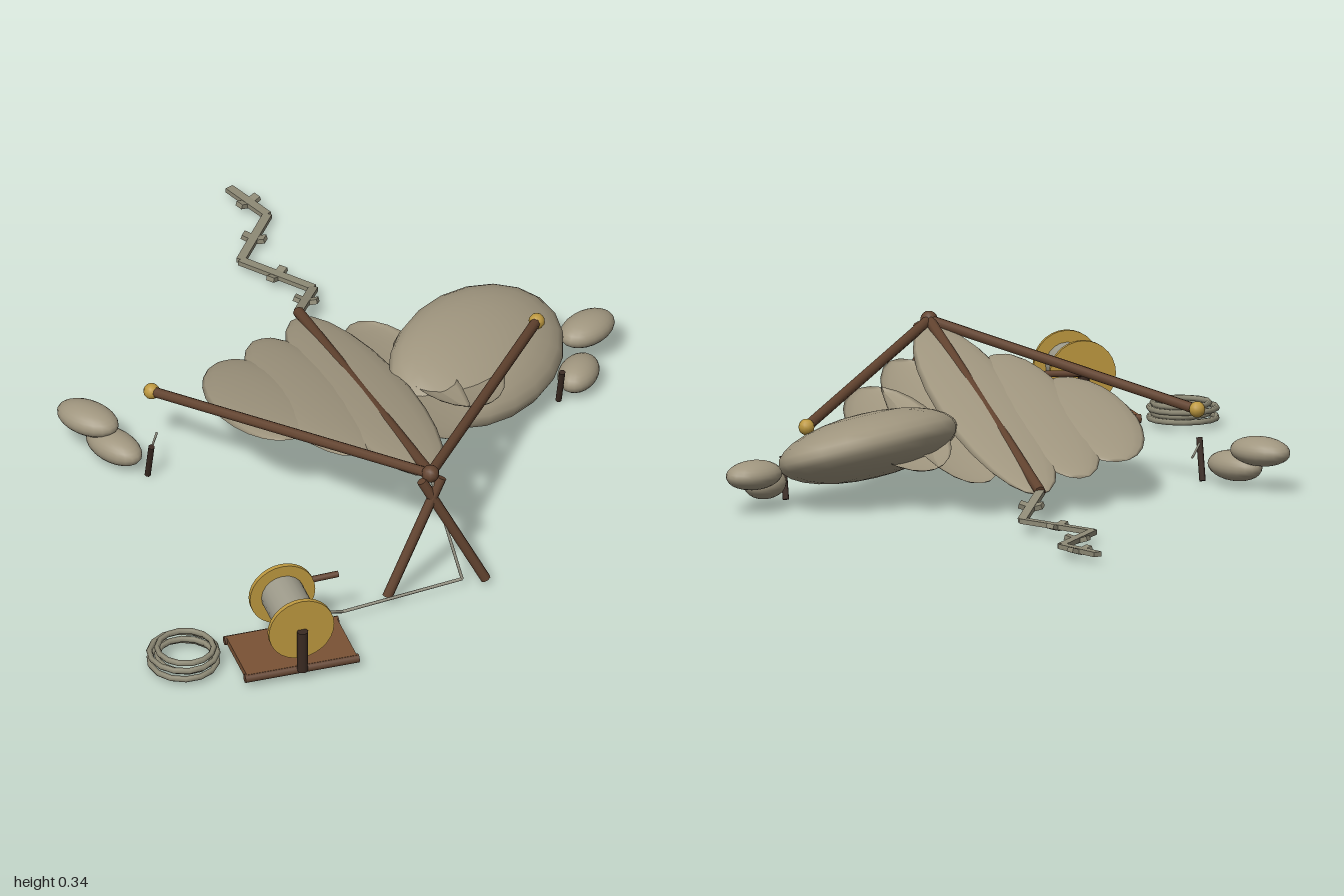
import * as THREE from 'three';

const mat = (name, color, side = THREE.FrontSide) => {
  const m = new THREE.MeshStandardMaterial({ color, side });
  m.name = name;
  return m;
};

export function createModel() {
  const wood = mat('spar wood', 0x634430);
  const plank = mat('plank wood', 0x7a5235);
  const dark = mat('dark wood', 0x3a2a22);
  const gold = mat('brass', 0xbd983f);
  const cloth = mat('cloth', 0xa0967f, THREE.DoubleSide);
  const rope = mat('rope', 0x8e8a76);
  const line = mat('line', 0x9f9c8c);

  const root = new THREE.Group();
  root.name = 'kite';
  const V = (a) => new THREE.Vector3(...a);

  const add = (name, geo, material, pos = [0, 0, 0], parent = root) => {
    const m = new THREE.Mesh(geo, material);
    m.name = name;
    m.position.set(...pos);
    parent.add(m);
    return m;
  };

  // Round rod between two points
  const rod = (name, a, b, r, material, sides = 8) => {
    const p = V(a), d = V(b).sub(p);
    const m = add(name, new THREE.CylinderGeometry(r, r, d.length(), sides), material);
    m.position.copy(p).addScaledVector(d, 0.5);
    m.quaternion.setFromUnitVectors(new THREE.Vector3(0, 1, 0), d.normalize());
    return m;
  };

  // Ellipsoid, turned by yaw and then tipped
  const blob = (name, pos, size, yaw, tip = 0) => {
    const m = add(name, new THREE.SphereGeometry(1, 20, 14), cloth, pos);
    m.scale.set(...size);
    m.rotation.set(tip, yaw, 0, 'YXZ');
    return m;
  };

  // Frame: spine, two wing spars and their knobs
  const cx = 0.03;
  const apex = [cx, 0.325, 0.69];
  rod('spine', apex, [cx, 0.08, -0.38], 0.014, wood);
  for (const s of [1, -1]) {
    const tip = [cx + s * 0.49, 0.2, -0.01];
    const side = s > 0 ? 'left' : 'right';
    rod(side + 'Spar', apex, tip, 0.013, wood);
    add(side + 'Knob', new THREE.SphereGeometry(0.02, 12, 8), gold, tip);
    rod(side + 'FrontLeg', [cx - s * 0.025, 0.315, 0.7], [cx + s * 0.125, 0.02, 0.74], 0.013, wood);
  }
  add('apexLashing', new THREE.SphereGeometry(0.022, 10, 8), wood, apex);

  // Sail: a full middle leaf and half leaves with straight inner edges
  const slope = 0.245 / 1.07;
  const leaf = (name, x, z0, z1, width, side) => {
    const geo = side
      ? new THREE.SphereGeometry(1, 8, 12, -Math.PI / 2, Math.PI)
      : new THREE.SphereGeometry(1, 14, 12);
    // poles along the sail; half leaves bulge to +x before mirroring
    if (side) geo.rotateY(side * Math.PI / 2);
    geo.rotateX(Math.PI / 2);
    const zc = (z0 + z1) / 2;
    const m = add(name, geo, cloth, [x, 0.157 + zc * slope, zc]);
    m.scale.set(width, 0.022, (z1 - z0) / 2 * 1.025);
    m.rotation.x = -Math.atan(slope);
  };
  leaf('middleSail', cx, -0.37, 0.68, 0.118, 0);
  for (const s of [1, -1]) {
    leaf('innerSail', cx + s * 0.125, -0.285, 0.49, 0.112, s);
    leaf('outerSail', cx + s * 0.242, -0.195, 0.33, 0.118, s);
  }

  // Cloth bundles
  blob('clothBundle', [0.36, 0.143, 0.01], [0.277, 0.08, 0.186], 0.68, 0.3);
  blob('leftUpperSack', [0.67, 0.1, -0.08], [0.08, 0.036, 0.053], 0.5);
  blob('leftLowerSack', [0.612, 0.057, 0.035], [0.07, 0.037, 0.048], 0.9);
  blob('rightUpperSack', [-0.6, 0.103, -0.08], [0.085, 0.036, 0.053], -0.95);
  blob('rightLowerSack', [-0.555, 0.058, -0.01], [0.085, 0.037, 0.048], -1.1);

  // Ground pegs
  for (const x of [0.552, -0.493]) rod('peg', [x, 0.112, 0.095], [x, 0.01, 0.065], 0.008, dark);
  rod('pegCord', [-0.493, 0.1, 0.09], [-0.45, 0.08, 0], 0.003, line, 5);

  // Zigzag tail with cross bows
  const tail = [
    [0.03, 0.08, -0.38], [0.112, 0.037, -0.52], [-0.02, 0.032, -0.69],
    [0.1, 0.03, -0.855], [0.045, 0.03, -0.99],
  ];
  for (let i = 0; i < 4; i++) {
    const a = V(tail[i]), b = V(tail[i + 1]);
    const strip = new THREE.Group();
    strip.name = 'tailPiece';
    strip.position.copy(a).add(b).multiplyScalar(0.5);
    strip.lookAt(b);
    root.add(strip);
    add('tailStrip', new THREE.BoxGeometry(0.022, 0.012, a.distanceTo(b)), rope, [0, 0, 0], strip);
    for (const s of [1, -1]) {
      const bow = add('tailBow', new THREE.BoxGeometry(0.03, 0.012, 0.022), rope, [s * 0.015, 0, 0], strip);
      bow.rotation.z = s * 0.3;
    }
  }

  // Winch base
  const wx = -0.39, wy = 0.15, wz = 0.902;
  add('winchBase', new THREE.BoxGeometry(0.28, 0.018, 0.17), plank, [wx, 0.037, wz]);
  for (const s of [1, -1]) {
    const z = wz + s * 0.083;
    rod('baseRail', [wx - 0.145, 0.035, z], [wx + 0.145, 0.035, z], 0.011, wood);
    rod('winchPost', [wx, 0.035, z + s * 0.008], [wx, wy, z + s * 0.008], 0.014, dark);
    const disc = add('spoolDisc', new THREE.CylinderGeometry(0.083, 0.083, 0.012, 28), gold, [wx, wy, wz + s * 0.077]);
    disc.rotation.x = Math.PI / 2;
  }
  rod('spoolDrum', [wx, wy, wz - 0.077], [wx, wy, wz + 0.077], 0.054, line, 20);
  rod('crank', [wx, 0.155, wz - 0.1], [-0.24, 0.16, wz - 0.1], 0.008, wood);

  // Line from the winch along the ground and up to the frame
  const path = [[-0.34, 0.112, 0.87], [-0.225, 0.036, 0.79], [0.095, 0.032, 0.74], [cx, 0.315, 0.7]];
  for (let i = 0; i < 3; i++) rod('flyingLine', path[i], path[i + 1], 0.004, line, 6);

  // Coil of spare rope
  for (let i = 0; i < 4; i++) {
    const ring = add('ropeCoil', new THREE.TorusGeometry(0.083 - (i % 2) * 0.014, 0.0075, 6, 14), rope,
      [-0.65 + (i % 2) * 0.005, 0.028 + i * 0.012, 0.855]);
    ring.rotation.set(Math.PI / 2, 0, i * 0.4);
  }

  return root;
}
